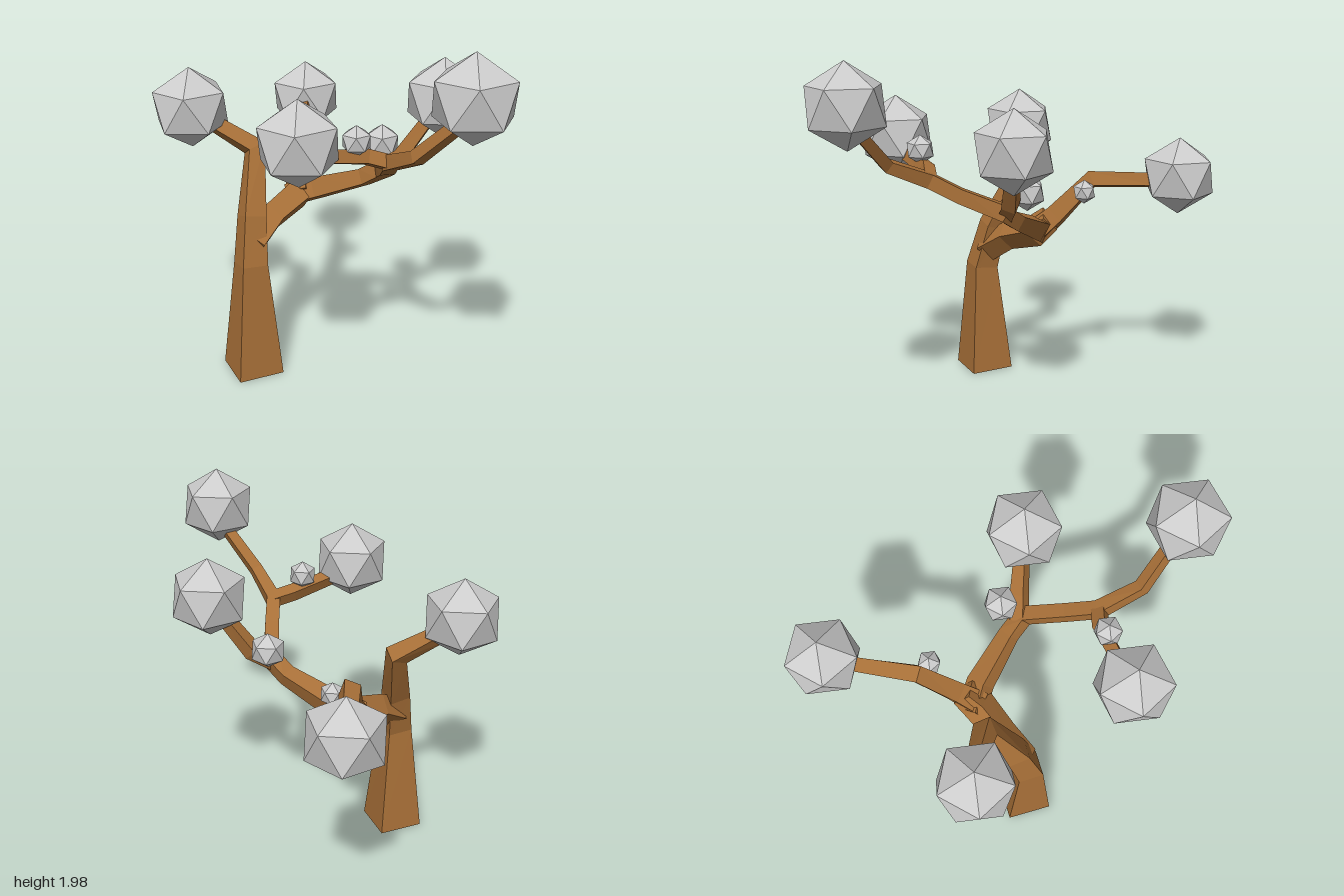
import * as THREE from 'three';

const bark = new THREE.MeshStandardMaterial({ color: 0xa87038, flatShading: true });
const leaf = new THREE.MeshStandardMaterial({ color: 0xcccccc, flatShading: true });

// Four-sided limb through nodes [x, y, z, radius]; ref points to the first corner
function limb(name, ref, nodes) {
  const pts = nodes.map(([x, y, z]) => new THREE.Vector3(x, y, z));
  const last = pts.length - 1;
  const u = new THREE.Vector3(...ref);
  const rings = pts.map((p, i) => {
    const t = new THREE.Vector3();
    if (i > 0) t.add(p.clone().sub(pts[i - 1]).normalize());
    if (i < last) t.add(pts[i + 1].clone().sub(p).normalize());
    t.normalize();
    u.addScaledVector(t, -u.dot(t)).normalize();
    const v = t.clone().cross(u);
    const r = nodes[i][3];
    return [[1, 0], [0, 1], [-1, 0], [0, -1]].map(([a, b]) =>
      p.clone().addScaledVector(u, a * r).addScaledVector(v, b * r));
  });
  const out = [];
  const quad = (a, b, c, d) => [a, b, c, a, c, d].forEach((q) => out.push(q.x, q.y, q.z));
  for (let i = 0; i < last; i++) {
    for (let k = 0; k < 4; k++) {
      const n = (k + 1) % 4;
      quad(rings[i][k], rings[i][n], rings[i + 1][n], rings[i + 1][k]);
    }
  }
  const [s, e] = [rings[0], rings[last]];
  quad(s[3], s[2], s[1], s[0]);
  quad(e[0], e[1], e[2], e[3]);
  const geo = new THREE.BufferGeometry();
  geo.setAttribute('position', new THREE.Float32BufferAttribute(out, 3));
  geo.computeVertexNormals();
  const mesh = new THREE.Mesh(geo, bark);
  mesh.name = name;
  return mesh;
}

// Foliage ball: icosahedron standing on a corner
function ball(name, x, y, z, r) {
  const geo = new THREE.IcosahedronGeometry(r, 0);
  geo.rotateZ(-Math.atan(2 / (1 + Math.sqrt(5))));
  const mesh = new THREE.Mesh(geo, leaf);
  mesh.position.set(x, y, z);
  mesh.name = name;
  return mesh;
}

export function createModel() {
  const tree = new THREE.Group();
  tree.name = 'tree';

  // Trunk, running on into the right-hand branch
  tree.add(limb('trunk', [1, 0, 0], [
    [-0.44, 0, 0.405, 0.18], [-0.43, 0.65, 0.41, 0.1], [-0.445, 0.9, 0.345, 0.085],
    [-0.49, 1.23, 0.18, 0.07], [-0.72, 1.38, 0.25, 0.05]]));

  // Side limb from the trunk to the first fork
  tree.add(limb('sideLimb', [1, 0.3, 0], [
    [-0.43, 0.76, 0.38, 0.09], [-0.38, 0.86, 0.22, 0.085], [-0.31, 0.92, 0.03, 0.095],
    [-0.31, 1.0, -0.06, 0.08]]));

  // Back branch
  tree.add(limb('backBranch', [0.4, 0.9, 0], [
    [-0.3, 0.92, 0.02, 0.09], [-0.33, 1.02, -0.09, 0.075],
    [-0.4, 1.23, -0.28, 0.062], [-0.52, 1.225, -0.62, 0.052]]));

  // Long branch sweeping left and forward
  tree.add(limb('mainBranch', [0, 0.94, 0.34], [
    [-0.36, 0.91, 0.02, 0.08], [-0.21, 0.96, -0.01, 0.08], [0.08, 1.07, 0.01, 0.06],
    [0.19, 1.14, 0.04, 0.062], [0.28, 1.235, 0.25, 0.055], [0.34, 1.32, 0.4, 0.055],
    [0.52, 1.42, 0.55, 0.045], [0.74, 1.63, 0.6, 0.04]]));

  // Branches leaving the long branch
  tree.add(limb('leftBranch', [0, 0.94, 0.34], [
    [0.16, 1.13, 0.03, 0.055], [0.27, 1.2, -0.03, 0.055], [0.4, 1.4, -0.09, 0.045]]));
  tree.add(limb('frontBranch', [0, 0.94, 0.34], [
    [0.35, 1.32, 0.4, 0.05], [0.24, 1.36, 0.46, 0.05], [0.08, 1.41, 0.66, 0.045]]));

  // Large balls at the branch tips, small ones along the branches
  [
    ['rightFoliage', -0.8, 1.46, 0.3, 0.22],
    ['backFoliage', -0.56, 1.25, -0.75, 0.22],
    ['frontFoliage', -0.002, 1.495, 0.75, 0.22],
    ['leftFoliage', 0.475, 1.52, -0.122, 0.22],
    ['topFoliage', 0.8, 1.755, 0.62, 0.22],
    ['smallBackFoliage', -0.3, 1.175, -0.265, 0.068],
    ['smallMiddleFoliage', 0.15, 1.25, -0.08, 0.1],
    ['smallFrontFoliage', 0.205, 1.455, 0.51, 0.08],
  ].forEach((b) => tree.add(ball(...b)));

  return tree;
}
